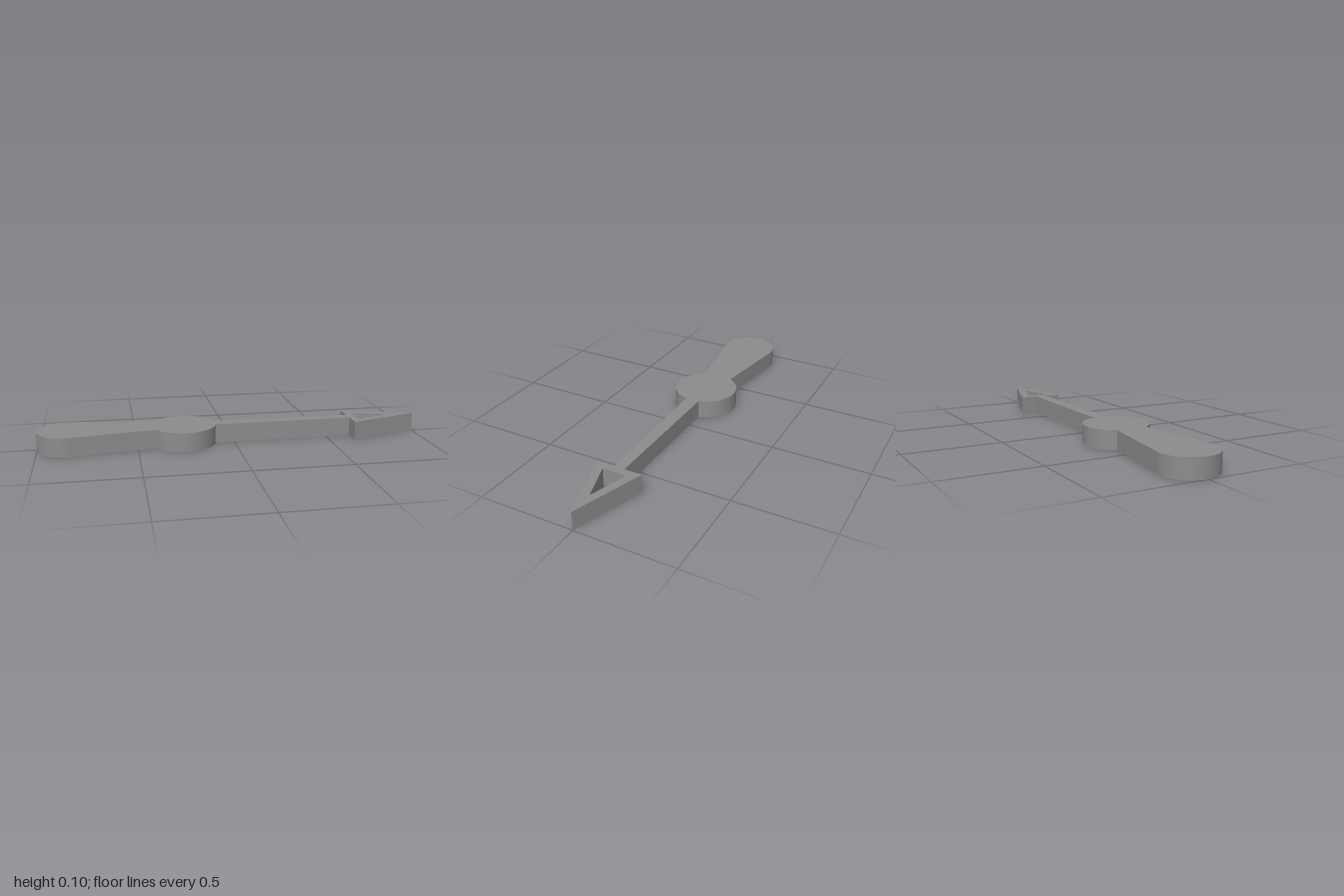
import * as THREE from 'three';
import { toCreasedNormals } from 'three/addons/utils/BufferGeometryUtils.js';

const THICKNESS = 0.097;
const hub = { x: -0.26, r: 0.166 };
const tail = { x: -0.855, r: 0.145 };
const shaft = { hubHalf: 0.036, headHalf: 0.028 };
const head = { x: 0.63, half: 0.12, tip: 1 };
const hole = { x: 0.67, half: 0.063, tip: 0.866 };
const TAIL_NECK = 0.08; // half width where the tail meets the hub

// Continuous outline: arrowhead, shaft, round hub and paddle tail
function pointerShape() {
  const shaftAngle = Math.asin(shaft.hubHalf / hub.r);
  const neckAngle = Math.asin(TAIL_NECK / hub.r);
  const tangent = THREE.MathUtils.degToRad(81.6);

  const shape = new THREE.Shape();
  shape.moveTo(head.x, -shaft.headHalf);
  shape.lineTo(head.x, -head.half);
  shape.lineTo(head.tip, 0);
  shape.lineTo(head.x, head.half);
  shape.lineTo(head.x, shaft.headHalf);
  shape.absarc(hub.x, 0, hub.r, shaftAngle, Math.PI - neckAngle, false);
  shape.absarc(tail.x, 0, tail.r, tangent, 2 * Math.PI - tangent, false);
  shape.absarc(hub.x, 0, hub.r, Math.PI + neckAngle, 2 * Math.PI - shaftAngle, false);
  shape.closePath();

  // Triangular window in the arrowhead
  const cut = new THREE.Path();
  cut.moveTo(hole.x, -hole.half);
  cut.lineTo(hole.x, hole.half);
  cut.lineTo(hole.tip, 0);
  cut.closePath();
  shape.holes.push(cut);
  return shape;
}

export function createModel() {
  const grey = new THREE.MeshStandardMaterial({ color: 0x8c8c8c });
  grey.name = 'grey';

  // Extrude upward, keeping round walls smooth and corners sharp
  const solid = new THREE.ExtrudeGeometry(pointerShape(), {
    depth: THICKNESS, bevelEnabled: false, curveSegments: 40,
  });
  solid.rotateX(-Math.PI / 2);

  const pointer = new THREE.Mesh(toCreasedNormals(solid, 0.4), grey);
  pointer.name = 'pointer';

  const model = new THREE.Group();
  model.name = 'arrowPointer';
  model.add(pointer);
  return model;
}
